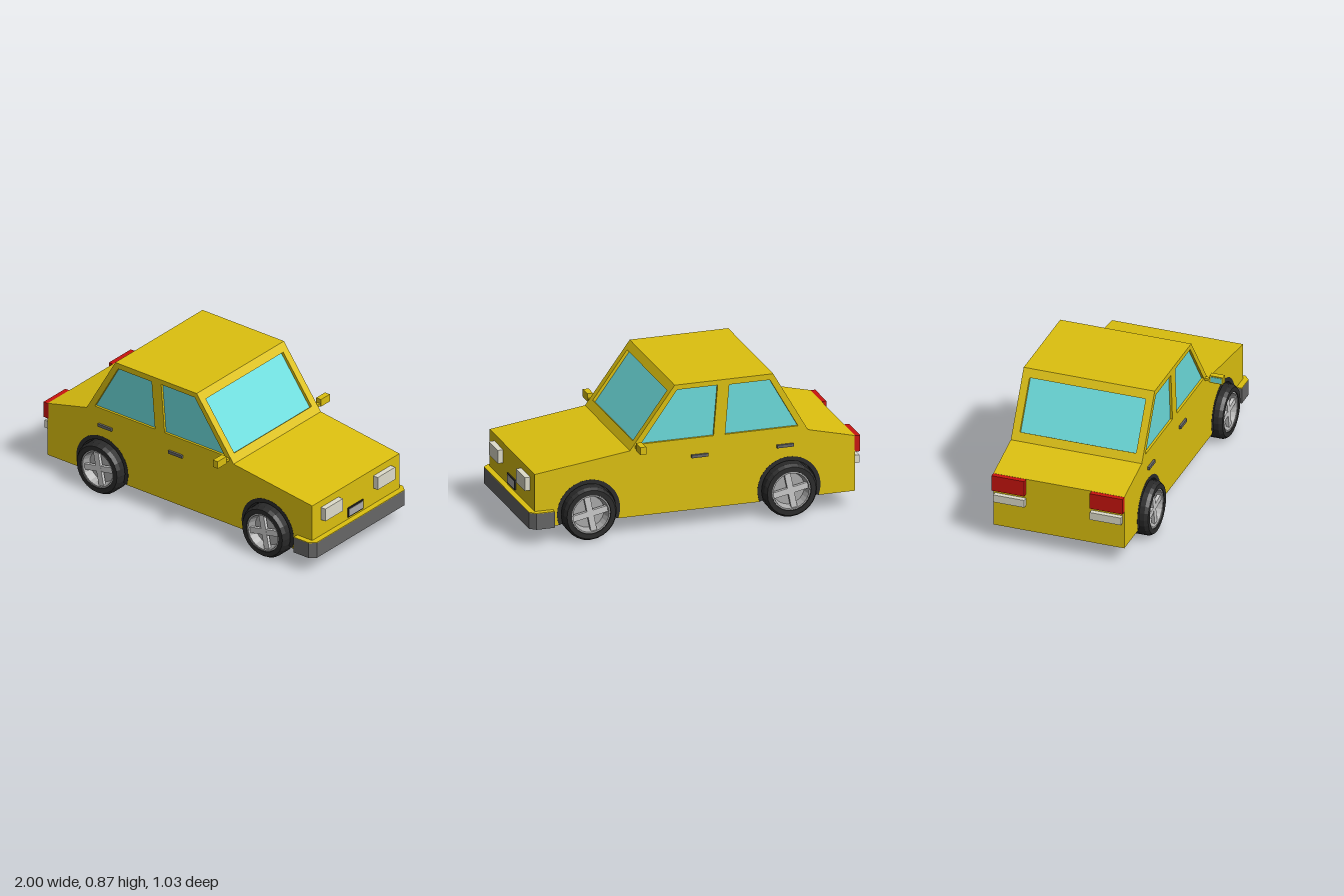
import * as THREE from 'three';

const mat = (color) => new THREE.MeshStandardMaterial({ color, flatShading: true, side: THREE.DoubleSide });
const paint = mat(0xdcc00f), glass = mat(0x6cdcdc), rubber = mat(0x2a2a2a), trim = mat(0x666666);
const alloy = mat(0xaaaaaa), lamp = mat(0xdedccb), red = mat(0xc8140f);

const HALF = 0.4, WALL = 0.03, FLOOR = 0.1;
const WHEELS = [-0.57, 0.64], ARCH_Y = 0.165, ARCH_R = 0.19;
const ARCH_W = Math.sqrt(ARCH_R ** 2 - (ARCH_Y - FLOOR) ** 2);
const ARCH_A = Math.asin((FLOOR - ARCH_Y) / ARCH_R);

// Side outline, clockwise from the lower rear corner
const OUTLINE = [[-0.97, 0.1], [-0.97, 0.435], [-0.685, 0.505], [-0.475, 0.87],
  [0.12, 0.87], [0.39, 0.502], [0.965, 0.425], [0.965, 0.1]];
const SIDE_WINDOWS = [
  [[-0.625, 0.535], [-0.455, 0.835], [-0.21, 0.835], [-0.185, 0.535]],
  [[-0.115, 0.535], [-0.14, 0.84], [0.105, 0.84], [0.325, 0.535]],
];

const poly = (pts) => new THREE.Shape(pts.map(([x, y]) => new THREE.Vector2(x, y)));
const extrude = (shape, depth) => new THREE.ExtrudeGeometry(shape, { depth, bevelEnabled: false, curveSegments: 20 });

function add(parent, name, geometry, material, x = 0, y = 0, z = 0) {
  const mesh = new THREE.Mesh(geometry, material);
  mesh.name = name;
  mesh.position.set(x, y, z);
  parent.add(mesh);
  return mesh;
}

// Box given by its minimum and maximum on each axis
function box(parent, name, material, [x0, x1], [y0, y1], [z0, z1]) {
  return add(parent, name, new THREE.BoxGeometry(x1 - x0, y1 - y0, Math.abs(z1 - z0)), material,
    (x0 + x1) / 2, (y0 + y1) / 2, (z0 + z1) / 2);
}

// Sheet spanning the car between two outline points, optionally with a window
function panel(parent, name, a, b, windowed) {
  const v = new THREE.Vector3(b[0] - a[0], b[1] - a[1], 0), len = v.length();
  v.normalize();
  const u = new THREE.Vector3(0, 0, 1), n = u.clone().cross(v);
  const place = (mesh, inset) => {
    mesh.rotation.setFromRotationMatrix(new THREE.Matrix4().makeBasis(u, v, n));
    mesh.position.set(a[0], a[1], 0).addScaledVector(n, -inset);
  };
  const w = HALF - WALL, shape = poly([[-w, 0], [w, 0], [w, len], [-w, len]]);
  if (windowed) {
    const m = 0.053, g = 0.355;
    const pane = [[-g, m], [-g, len - m], [g, len - m], [g, m]];
    shape.holes.push(poly(pane));
    place(add(parent, name + 'Glass', extrude(poly(pane), 0.008), glass), 0.026);
  }
  place(add(parent, name, extrude(shape, WALL), paint), WALL);
}

// Wall with window openings and wheel arches
function buildSide(s) {
  const side = new THREE.Group();
  side.name = s > 0 ? 'leftSide' : 'rightSide';
  const wall = new THREE.Shape();
  OUTLINE.forEach(([x, y], i) => (i ? wall.lineTo(x, y) : wall.moveTo(x, y)));
  for (const x of [...WHEELS].reverse()) {
    wall.lineTo(x + ARCH_W, FLOOR);
    wall.absarc(x, ARCH_Y, ARCH_R, ARCH_A, Math.PI - ARCH_A, false);
  }
  wall.closePath();
  wall.holes = SIDE_WINDOWS.map(poly);
  add(side, 'sideWall', extrude(wall, WALL), paint, 0, 0, s > 0 ? HALF - WALL : -HALF);
  for (const pts of SIDE_WINDOWS) {
    add(side, 'sideWindow', extrude(poly(pts), 0.008), glass, 0, 0, s * 0.382 - 0.004);
  }
  // Door handles
  for (const x of [-0.595, -0.08]) box(side, 'doorHandle', trim, [x, x + 0.1], [0.417, 0.435], [s * 0.4, s * 0.413]);
  // Door mirror
  box(side, 'mirrorArm', paint, [0.337, 0.36], [0.515, 0.53], [s * 0.4, s * 0.437]);
  box(side, 'mirrorHousing', paint, [0.33, 0.365], [0.512, 0.558], [s * 0.433, s * 0.514]);
  box(side, 'mirrorGlass', glass, [0.327, 0.331], [0.519, 0.551], [s * 0.441, s * 0.506]);
  // Wheels and arch liners
  for (const x of WHEELS) {
    const arch = new THREE.Shape();
    arch.absarc(0, 0, ARCH_R, ARCH_A, Math.PI - ARCH_A, false);
    arch.closePath();
    add(side, 'archBack', extrude(arch, 0.01), rubber, x, ARCH_Y, s * 0.315 - 0.005);
    const lip = new THREE.Shape();
    lip.absarc(0, 0, ARCH_R, ARCH_A, Math.PI - ARCH_A, false);
    lip.absarc(0, 0, ARCH_R - 0.025, Math.PI - ARCH_A, ARCH_A, true);
    lip.closePath();
    add(side, 'archLiner', extrude(lip, 0.09), rubber, x, ARCH_Y, s > 0 ? 0.311 : -0.401);
    const wheel = buildWheel();
    wheel.position.set(x, 0.16, s * 0.39);
    if (s < 0) wheel.rotation.y = Math.PI;
    side.add(wheel);
  }
  return side;
}

// Tyre, dished rim and crossed spokes, facing +z
function buildWheel() {
  const wheel = new THREE.Group();
  wheel.name = 'wheel';
  const lathe = (pts) => new THREE.LatheGeometry(pts.map(([r, y]) => new THREE.Vector2(r, y)), 24).rotateX(Math.PI / 2);
  add(wheel, 'tyre', lathe([[0, -0.06], [0.15, -0.06], [0.16, -0.045], [0.16, 0.04], [0.147, 0.06], [0.118, 0.06], [0.115, 0.05]]), rubber);
  add(wheel, 'rim', lathe([[0.117, 0.055], [0.108, 0.055], [0.095, 0.005], [0, 0.005]]), alloy);
  for (let i = 0; i < 2; i++) {
    const spoke = add(wheel, 'spoke', new THREE.BoxGeometry(0.215, 0.036, 0.02), mat(0xbcbcbc), 0, 0, 0.035 + i * 0.001);
    spoke.rotation.z = 0.2 + i * Math.PI / 2;
  }
  return wheel;
}

export function createModel() {
  const car = new THREE.Group();
  car.name = 'car';

  // Body shell
  const names = ['tailPanel', 'bootLid', 'rearScreen', 'roof', 'windscreen', 'bonnet', 'nosePanel'];
  names.forEach((name, i) => panel(car, name, OUTLINE[i], OUTLINE[i + 1], /creen/.test(name)));
  for (const s of [1, -1]) car.add(buildSide(s));

  // Floor, notched for the rear wheels and open under the bonnet
  const w = HALF - 0.005, z = 0.32, x0 = WHEELS[0] - ARCH_W, x1 = WHEELS[0] + ARCH_W;
  const edge = [[-0.965, w], [x0, w], [x0, z], [x1, z], [x1, w], [0.45, w]];
  const floor = extrude(poly([...edge, ...edge.map(([x, y]) => [x, -y]).reverse()]), 0.015).rotateX(Math.PI / 2);
  add(car, 'floor', floor, paint, 0, FLOOR + 0.016, 0);

  // Wrap-around front bumper with a painted top
  const outer = [[0.855, 0.433], [0.965, 0.433], [1, 0.402]], inner = [[0.964, 0.4], [0.855, 0.4]];
  const flip = (pts) => pts.map(([x, y]) => [x, -y]).reverse();
  const ring = poly([...outer, ...flip(outer), ...flip(inner), ...inner]);
  add(car, 'frontBumper', extrude(ring, 0.096).rotateX(Math.PI / 2), trim, 0, 0.196, 0);
  add(car, 'bumperTop', extrude(ring, 0.004).rotateX(Math.PI / 2), paint, 0, 0.2, 0);

  // Lamps
  for (const s of [1, -1]) {
    box(car, 'headlamp', lamp, [0.96, 0.998], [0.302, 0.382], [s * 0.16, s * 0.32]);
    box(car, 'tailLamp', red, [-1, -0.965], [0.337, 0.434], [s * 0.2, s * 0.4]);
    box(car, 'reverseLamp', lamp, [-1, -0.965], [0.264, 0.311], [s * 0.2, s * 0.39]);
  }

  // Blank number plate
  box(car, 'plateFrame', rubber, [0.96, 0.972], [0.214, 0.274], [-0.063, 0.077]);
  box(car, 'plate', alloy, [0.965, 0.974], [0.222, 0.266], [-0.054, 0.068]);
  return car;
}
